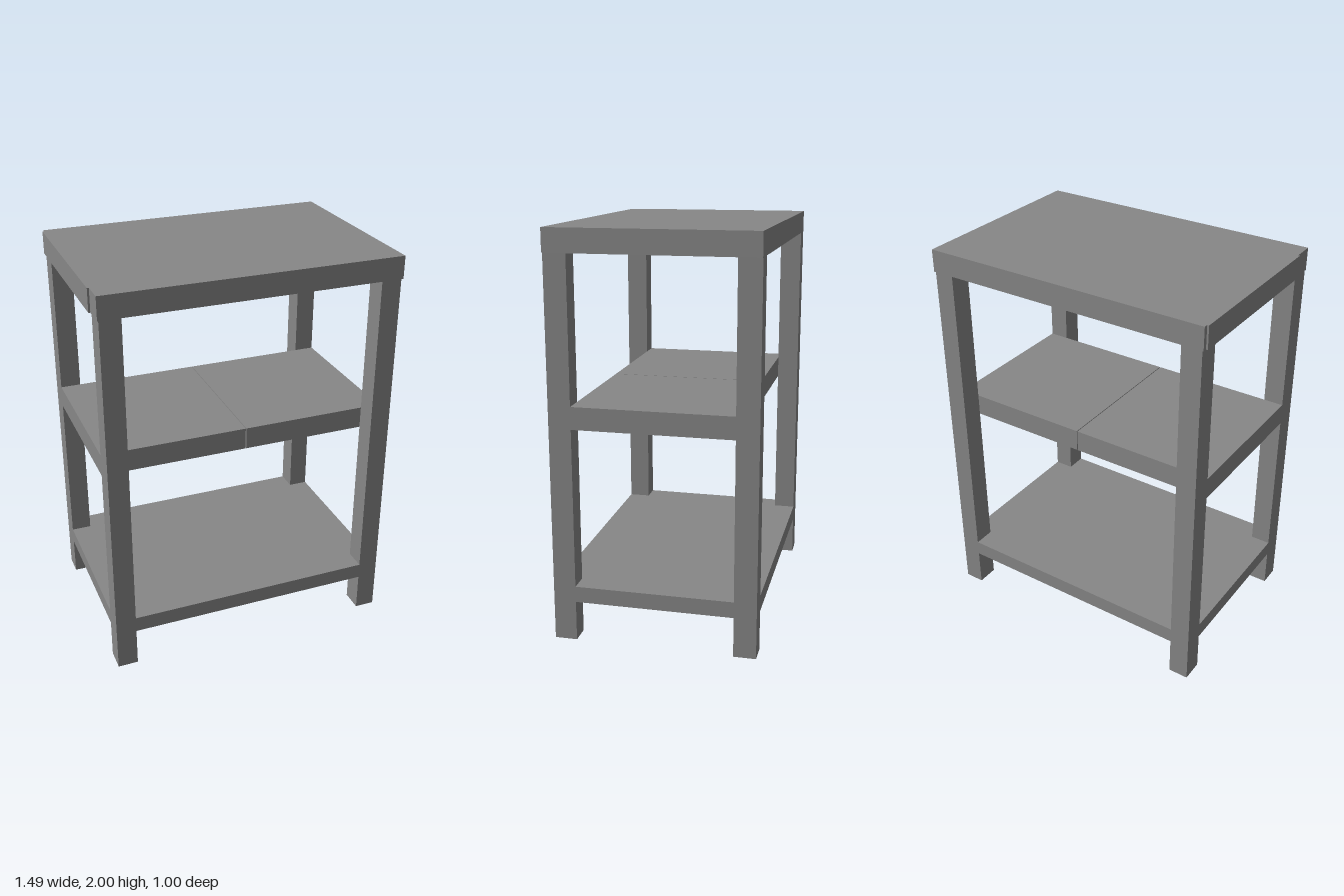
import * as THREE from 'three';

export function createModel() {
  const group = new THREE.Group();
  const material = new THREE.MeshStandardMaterial({ color: 0x878787, flatShading: true });

  // Box given by its lower and upper limits on each axis
  const box = (name, [x0, x1], [y0, y1], [z0, z1]) => {
    const mesh = new THREE.Mesh(new THREE.BoxGeometry(x1 - x0, y1 - y0, z1 - z0), material);
    mesh.position.set((x0 + x1) / 2, (y0 + y1) / 2, (z0 + z1) / 2);
    mesh.name = name;
    group.add(mesh);
  };

  // Outer and inner faces of the legs
  const left = 0.733, innerLeft = 0.632;
  const right = -0.73, innerRight = -0.628;
  const Z = 0.5, innerZ = 0.39;
  const topUnderside = 1.887;

  // Table top with a thin edge strip on its right side
  box('tableTop', [-0.735, 0.744], [topUnderside, 2], [-Z, Z]);
  box('edgeStrip', [-0.744, -0.735], [topUnderside, 2], [-0.48, 0.39]);

  // Four square legs
  for (const [side, xs] of [['Left', [innerLeft, left]], ['Right', [right, innerRight]]]) {
    box(`front${side}Leg`, xs, [0, topUnderside], [innerZ, Z]);
    box(`back${side}Leg`, xs, [0, topUnderside], [-Z, -innerZ]);
  }

  // Middle shelf in two halves with a narrow seam, set back between the legs
  box('middleShelfLeft', [0.004, left], [1.07, 1.18], [-innerZ, innerZ]);
  box('middleShelfRight', [right, 0], [1.07, 1.18], [-innerZ, innerZ]);

  // Bottom shelf, flush with the legs and notched around them
  const outline = new THREE.Shape([
    [innerLeft, -Z], [innerLeft, -innerZ], [left, -innerZ],
    [left, innerZ], [innerLeft, innerZ], [innerLeft, Z],
    [innerRight, Z], [innerRight, innerZ], [right, innerZ],
    [right, -innerZ], [innerRight, -innerZ], [innerRight, -Z],
  ].map(([x, z]) => new THREE.Vector2(x, z)));
  const shelfGeometry = new THREE.ExtrudeGeometry(outline, { depth: 0.08, bevelEnabled: false });
  shelfGeometry.rotateX(-Math.PI / 2);
  const bottomShelf = new THREE.Mesh(shelfGeometry, material);
  bottomShelf.position.y = 0.2;
  bottomShelf.name = 'bottomShelf';
  group.add(bottomShelf);

  return group;
}
